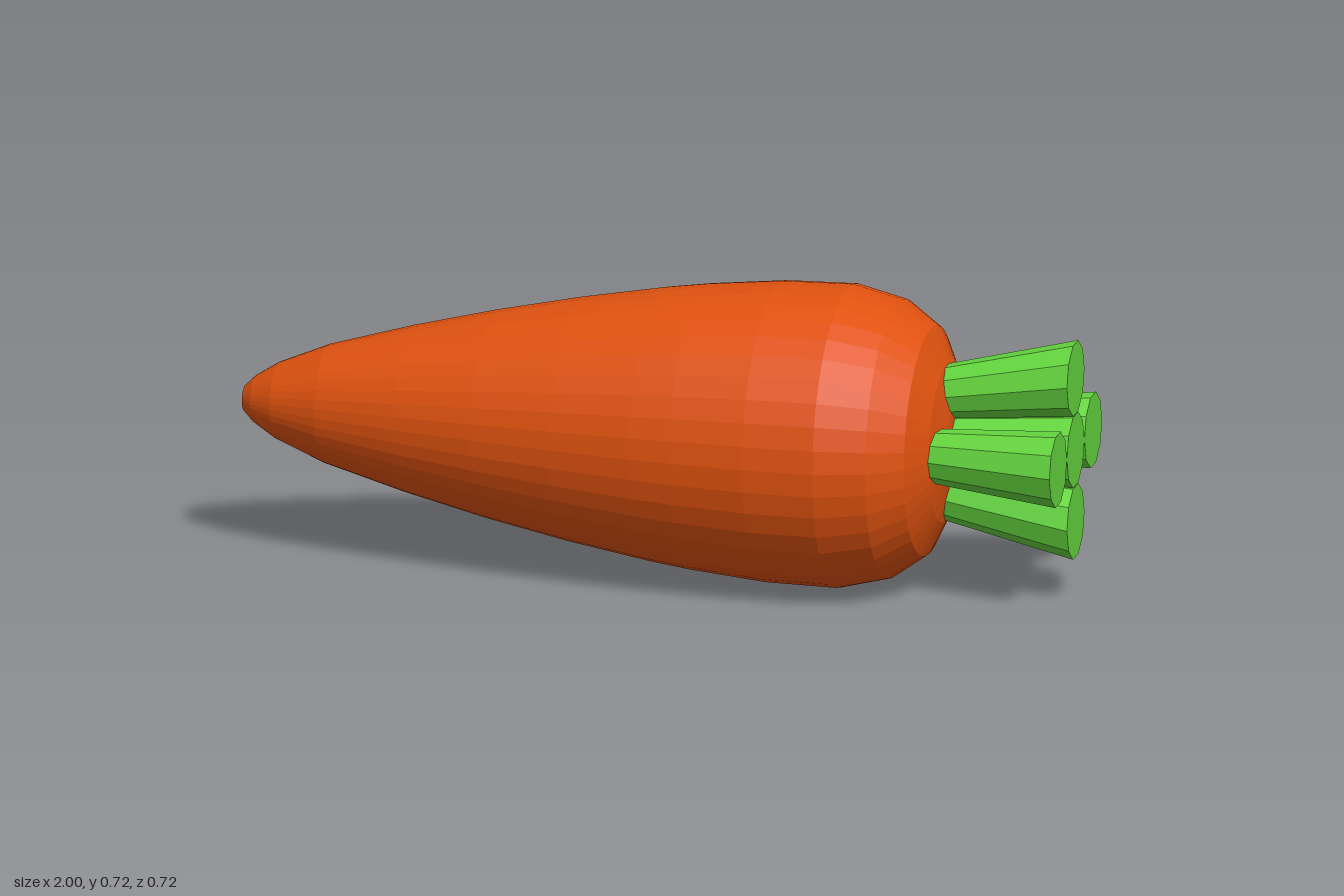
import * as THREE from 'three';

const AXIS_Y = 0.36;

export function createModel() {
  const model = new THREE.Group();
  model.name = 'carrot';
  const orange = new THREE.MeshStandardMaterial({ color: 0xe0520f, flatShading: true });
  orange.name = 'carrot orange';
  const green = new THREE.MeshStandardMaterial({ color: 0x65d63f, flatShading: true });
  green.name = 'stem green';

  // Root: [x, radius] profile turned about the x axis
  const profile = [
    [-1, 0], [-1, 0.03], [-0.975, 0.055], [-0.92, 0.09], [-0.8, 0.14], [-0.6, 0.197],
    [-0.4, 0.246], [-0.2, 0.288], [0, 0.323], [0.1, 0.337], [0.28, 0.355], [0.45, 0.358],
    [0.57, 0.329], [0.65, 0.272], [0.69, 0.19], [0.712, 0.1], [0.718, 0],
  ].map(([x, r]) => new THREE.Vector2(r, x));
  const rootGeometry = new THREE.LatheGeometry(profile, 40);
  rootGeometry.rotateZ(-Math.PI / 2);
  const root = new THREE.Mesh(rootGeometry, orange);
  root.name = 'root';
  root.position.y = AXIS_Y;
  model.add(root);

  // Stems: ten-sided tapers, sheared outward so their cut ends stay flat at x = 1
  function addStem(name, dy, dz) {
    const start = 0.6, length = 0.4;
    const geometry = new THREE.CylinderGeometry(0.09, 0.057, length, 10);
    geometry.rotateZ(-Math.PI / 2).translate(start + length / 2, 0, 0);
    const p = geometry.attributes.position;
    for (let i = 0; i < p.count; i++) {
      const spread = 0.63 + 0.37 * (p.getX(i) - start) / length;
      p.setY(i, p.getY(i) + dy * spread);
      p.setZ(i, p.getZ(i) + dz * spread);
    }
    geometry.computeVertexNormals();
    const stem = new THREE.Mesh(geometry, green);
    stem.name = name;
    stem.position.y = AXIS_Y;
    model.add(stem);
  }
  addStem('centreStem', 0, 0);
  addStem('upperStem', 0.174, 0);
  addStem('lowerStem', -0.174, 0);
  addStem('frontStem', 0, 0.18);
  addStem('backStem', 0, -0.18);

  return model;
}
